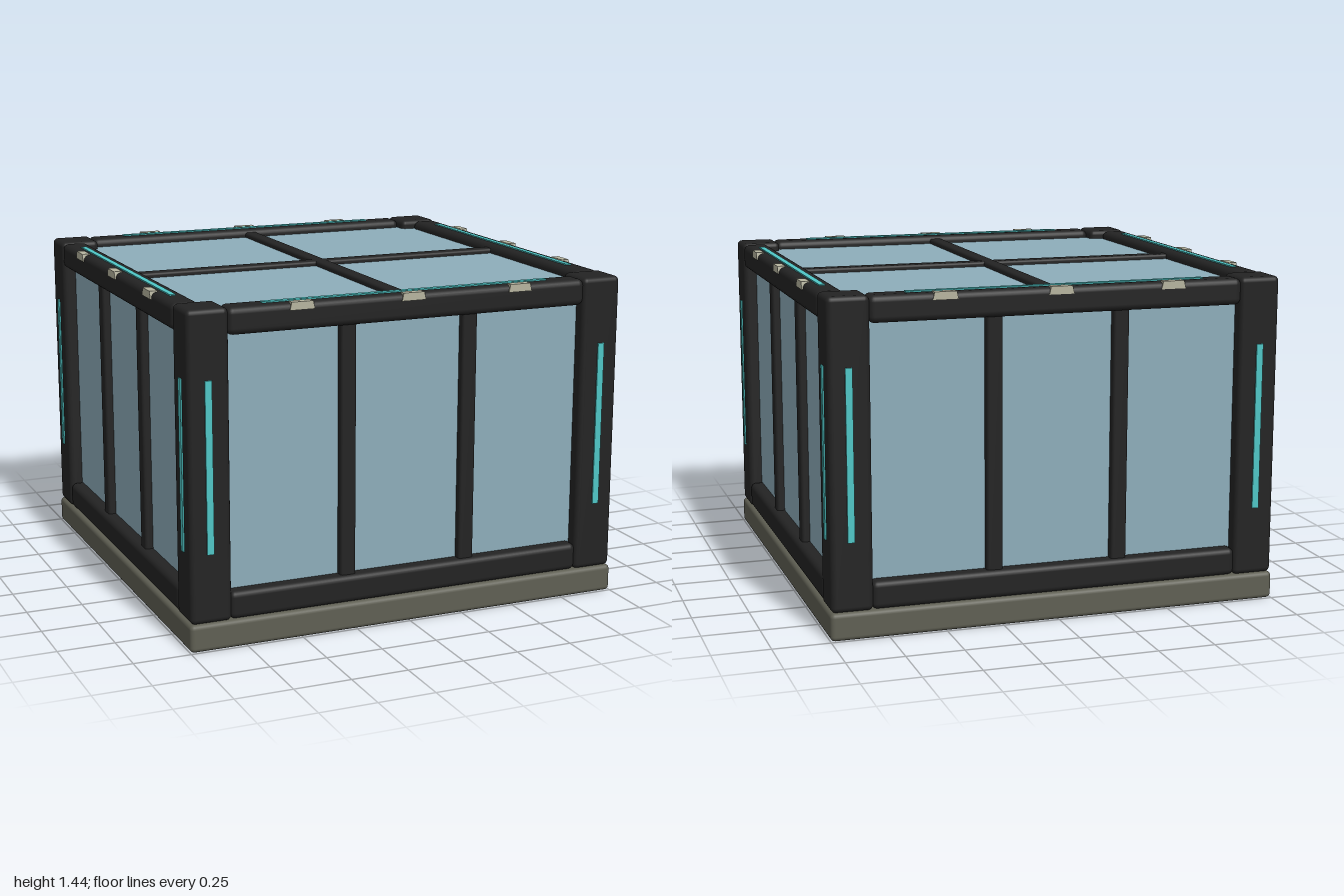
import * as THREE from 'three';
import { RoundedBoxGeometry } from 'three/addons/geometries/RoundedBoxGeometry.js';

const paint = (name, color) => {
  const m = new THREE.MeshStandardMaterial({ color });
  m.name = name;
  return m;
};

export function createModel() {
  const frame = paint('black frame', 0x232323);
  const glass = paint('blue glass', 0x8dadba);
  const base = paint('olive grey base', 0x5f5f53);
  const light = paint('teal light', 0x4fc6c6);
  const clipPaint = paint('cream clip', 0xb6b49f);

  const model = new THREE.Group();
  model.name = 'glassEnclosure';

  const add = (parent, name, geometry, material, x, y, z) => {
    const mesh = new THREE.Mesh(geometry, material);
    mesh.name = name;
    mesh.position.set(x, y, z);
    parent.add(mesh);
    return mesh;
  };
  const box = (w, h, d) => new THREE.BoxGeometry(w, h, d);
  const rounded = (w, h, d, r) => new RoundedBoxGeometry(w, h, d, 3, r);

  // Small clip, narrower towards its top and inner edges
  const clipGeometry = box(0.11, 0.034, 0.036);
  const p = clipGeometry.attributes.position;
  for (let i = 0; i < p.count; i++) {
    if (p.getY(i) > 0 || p.getZ(i) < 0) p.setX(i, p.getX(i) * 0.86);
  }
  clipGeometry.computeVertexNormals();

  // Base slab
  add(model, 'base', rounded(2, 0.12, 2, 0.02), base, 0, 0.06, 0);

  // Four identical sides, each with one corner post
  for (let i = 0; i < 4; i++) {
    const side = new THREE.Group();
    side.name = 'side' + (i + 1);
    side.rotation.y = i * Math.PI / 2;
    model.add(side);

    add(side, 'cornerPost', rounded(0.18, 1.32, 0.18, 0.022), frame, 0.905, 0.78, 0.905);
    add(side, 'bottomBeam', rounded(1.64, 0.12, 0.12, 0.025), frame, 0, 0.18, 0.932);
    add(side, 'topBeam', rounded(1.64, 0.115, 0.12, 0.028), frame, 0, 1.38, 0.935);
    add(side, 'sidePane', box(1.66, 1.13, 0.02), glass, 0, 0.785, 0.925);

    // Window bars and post lights
    for (const s of [-1, 1]) {
      add(side, 'windowBar', rounded(0.07, 1.13, 0.07, 0.012), frame, s * 0.28, 0.785, 0.935);
      add(side, 'postLight', box(0.03, 0.73, 0.008), light, s * 0.908, 0.785, 0.997);
    }

    // Roof edge light and clips
    add(side, 'roofLight', box(1.31, 0.008, 0.026), light, 0, 1.439, 0.935);
    for (const x of [-0.5, 0, 0.5]) {
      add(side, 'clip', clipGeometry, clipPaint, x, 1.425, 0.982);
    }
  }

  // Roof pane and crossed roof bars
  add(model, 'roofPane', box(1.79, 0.02, 1.79), glass, 0, 1.39, 0);
  add(model, 'roofBarAcross', rounded(1.8, 0.06, 0.064, 0.012), frame, 0, 1.392, 0);
  add(model, 'roofBarAlong', rounded(0.064, 0.06, 1.8, 0.012), frame, 0, 1.393, 0);

  return model;
}
